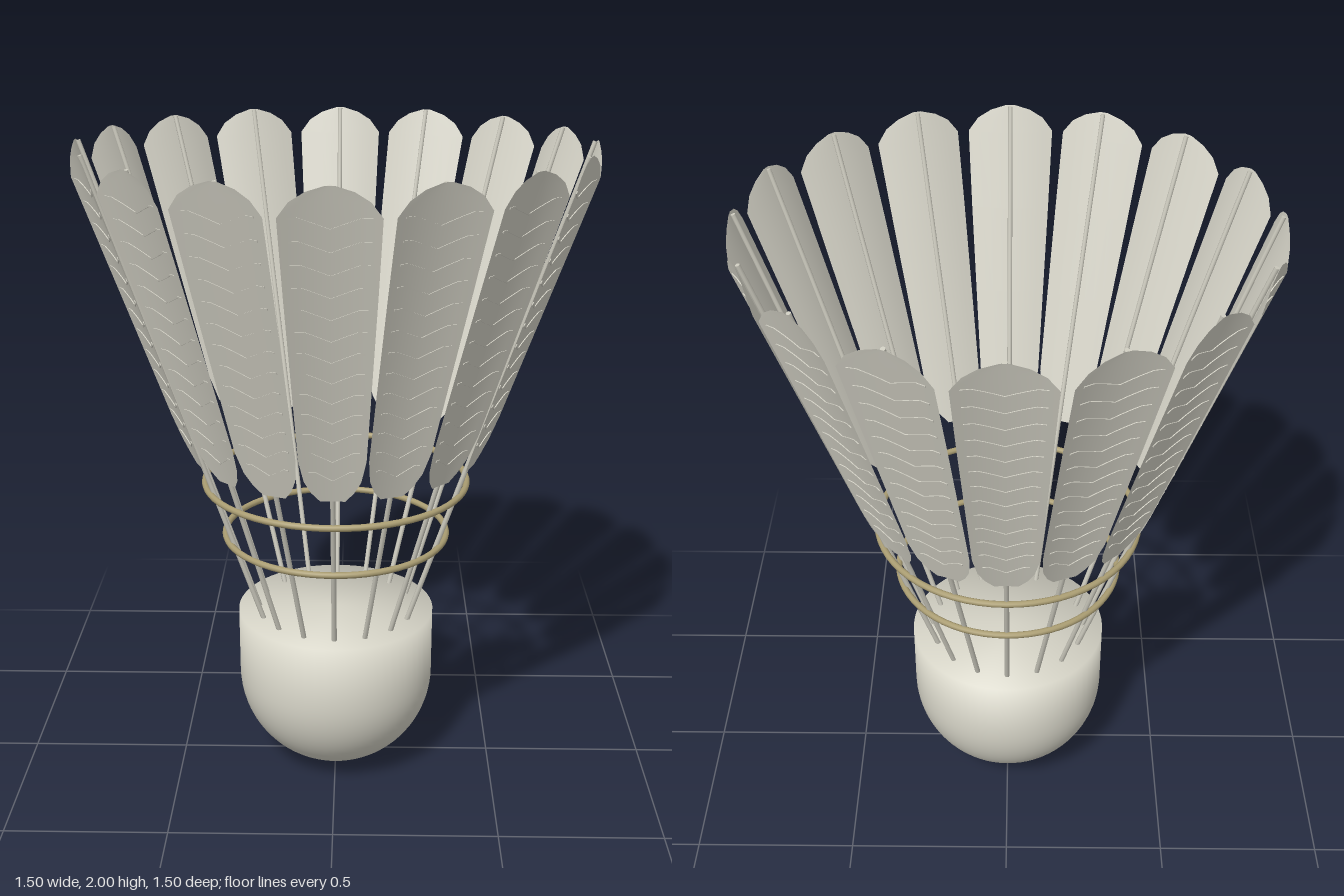
import * as THREE from 'three';
import { mergeGeometries } from 'three/addons/utils/BufferGeometryUtils.js';

const COUNT = 16;
const mat = (name, color, side = THREE.FrontSide) => {
  const m = new THREE.MeshStandardMaterial({ color, side });
  m.name = name;
  return m;
};

// Distance of a quill from the axis at height y
const quillRadius = (y) => 0.245 + 0.336 * (y - 0.525);
// Vane surface: leans with the quill, side edges curl outward
const vaneZ = (x, y) => quillRadius(y) + 0.009 + 1.1 * x * x;

// Half widths of the vane from bottom to tip: [y, halfWidth]
const OUTLINE = [
  [1.06, 0.035], [1.09, 0.06], [1.13, 0.08], [1.2, 0.094], [1.45, 0.107],
  [1.7, 0.12], [1.92, 0.13], [1.96, 0.1], [1.985, 0.06], [2, 0.012],
];

function halfWidth(y) {
  for (let i = 1; i < OUTLINE.length; i++) {
    const [y0, w0] = OUTLINE[i - 1], [y1, w1] = OUTLINE[i];
    if (y <= y1) return w0 + ((w1 - w0) * (y - y0)) / (y1 - y0);
  }
  return 0;
}

function vaneGeometry() {
  const cols = 8;
  const geo = new THREE.PlaneGeometry(1, 1, cols, OUTLINE.length - 1);
  const p = geo.attributes.position;
  for (let i = 0; i < p.count; i++) {
    const row = OUTLINE.length - 1 - Math.floor(i / (cols + 1));
    const [y, w] = OUTLINE[row];
    const x = p.getX(i) * 2 * w;
    p.setXYZ(i, x, y, vaneZ(x, y));
  }
  geo.computeVertexNormals();
  return geo;
}

// One V-shaped barb line laid on the outside of the vane
function barbGeometry(y0) {
  const geo = new THREE.BoxGeometry(1, 0.005, 0.003, 8, 1, 1);
  const p = geo.attributes.position;
  const w = halfWidth(y0) * 0.82;
  for (let i = 0; i < p.count; i++) {
    const u = p.getX(i) * 2;
    const x = u * w;
    const y = y0 + 0.032 * Math.min(1, Math.abs(u) * 1.3) + p.getY(i);
    p.setXYZ(i, x, y, vaneZ(x, y) + 0.003 + p.getZ(i));
  }
  geo.computeVertexNormals();
  return geo;
}

function quillGeometry() {
  const at = (y) => new THREE.Vector3(0, y, quillRadius(y));
  const a = at(0.51), b = at(1.998);
  const dir = b.clone().sub(a);
  const geo = new THREE.CylinderGeometry(0.007, 0.008, dir.length(), 8);
  geo.applyQuaternion(new THREE.Quaternion().setFromUnitVectors(
    new THREE.Vector3(0, 1, 0), dir.normalize()));
  const c = a.add(b).multiplyScalar(0.5);
  return geo.translate(c.x, c.y, c.z);
}

export function createModel() {
  const model = new THREE.Group();
  model.name = 'shuttlecock';
  const cream = mat('cork cream', 0xd5d3c6);
  const white = mat('feather white', 0xd5d3c7, THREE.DoubleSide);
  const pale = mat('quill pale', 0xcbc9bd);
  const tan = mat('binding tan', 0xaa9d72);

  const add = (parent, name, geo, material) => {
    const mesh = new THREE.Mesh(geo, material);
    mesh.name = name;
    parent.add(mesh);
    return mesh;
  };

  // Cork: hemisphere below, straight wall, softly shaded flat top
  const profile = [];
  for (let i = 0; i <= 20; i++) {
    const a = (i / 20) * Math.PI / 2;
    profile.push(new THREE.Vector2(0.31 * Math.sin(a), 0.31 - 0.31 * Math.cos(a)));
  }
  profile.push(new THREE.Vector2(0.31, 0.525), new THREE.Vector2(0, 0.525));
  add(model, 'cork', new THREE.LatheGeometry(profile, 64), cream);

  // Binding rings around the quills
  for (const [y, r] of [[0.79, 0.346], [0.965, 0.405]]) {
    const ring = add(model, 'bindingRing', new THREE.TorusGeometry(r, 0.01, 10, 64), tan);
    ring.rotation.x = Math.PI / 2;
    ring.position.y = y;
  }

  // Feathers
  const vane = vaneGeometry();
  const quill = quillGeometry();
  const barbList = [];
  for (let i = 0; i < 13; i++) barbList.push(barbGeometry(1.13 + i * 0.063));
  const barbs = mergeGeometries(barbList);
  for (let i = 0; i < COUNT; i++) {
    const feather = new THREE.Group();
    feather.name = 'feather';
    feather.rotation.y = (i / COUNT) * Math.PI * 2;
    add(feather, 'vane', vane, white);
    add(feather, 'quill', quill, pale);
    add(feather, 'barbs', barbs, white);
    model.add(feather);
  }
  return model;
}
